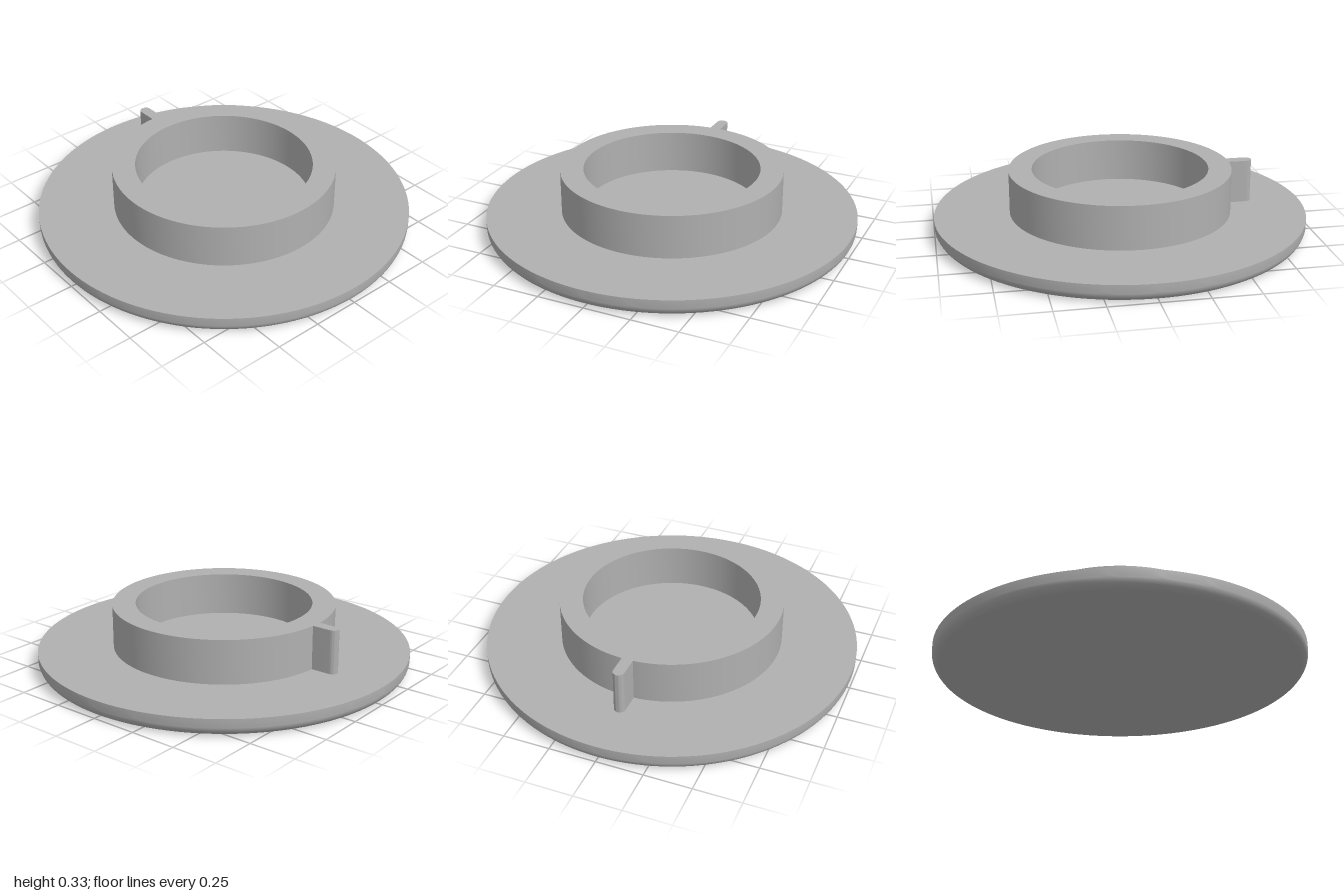
import * as THREE from 'three';
import { toCreasedNormals } from 'three/addons/utils/BufferGeometryUtils.js';

const SEGMENTS = 128;
const BASE_TOP = 0.097;
const RING_TOP = 0.332;

// Turned solid with sharp corners kept and curves smooth
function turned(points) {
  const profile = points.map(([r, y]) => new THREE.Vector2(r, y));
  return toCreasedNormals(new THREE.LatheGeometry(profile, SEGMENTS), 0.5);
}

export function createModel() {
  const group = new THREE.Group();
  const grey = new THREE.MeshStandardMaterial({ color: 0xb0b0b0 });
  grey.name = 'plain grey';

  const add = (name, geometry) => {
    const mesh = new THREE.Mesh(geometry, grey);
    mesh.name = name;
    group.add(mesh);
    return mesh;
  };

  // Round base plate with a filleted lower edge
  const fillet = 0.06;
  const base = [[0, 0]];
  for (let i = 0; i <= 10; i++) {
    const a = (i / 10) * Math.PI / 2;
    base.push([1 - fillet + fillet * Math.sin(a), fillet - fillet * Math.cos(a)]);
  }
  base.push([1, BASE_TOP], [0, BASE_TOP]);
  add('basePlate', turned(base));

  // Upright collar, open in the middle
  const outer = 0.597, inner = 0.473;
  add('collar', turned([[outer, BASE_TOP], [outer, RING_TOP], [inner, RING_TOP], [inner, BASE_TOP]]));

  // Round-nosed locating tab on the right of the collar
  const half = 0.03, tip = -0.73, root = -0.592;
  const outline = new THREE.Shape();
  outline.moveTo(root, half);
  outline.lineTo(tip + half, half);
  outline.absarc(tip + half, 0, half, Math.PI / 2, Math.PI * 1.5, false);
  outline.lineTo(root, -half);
  outline.closePath();
  const tab = new THREE.ExtrudeGeometry(outline, {
    depth: RING_TOP - BASE_TOP, bevelEnabled: false, curveSegments: 16,
  });
  tab.rotateX(-Math.PI / 2);
  add('locatingTab', toCreasedNormals(tab, 0.5)).position.y = BASE_TOP;

  return group;
}
